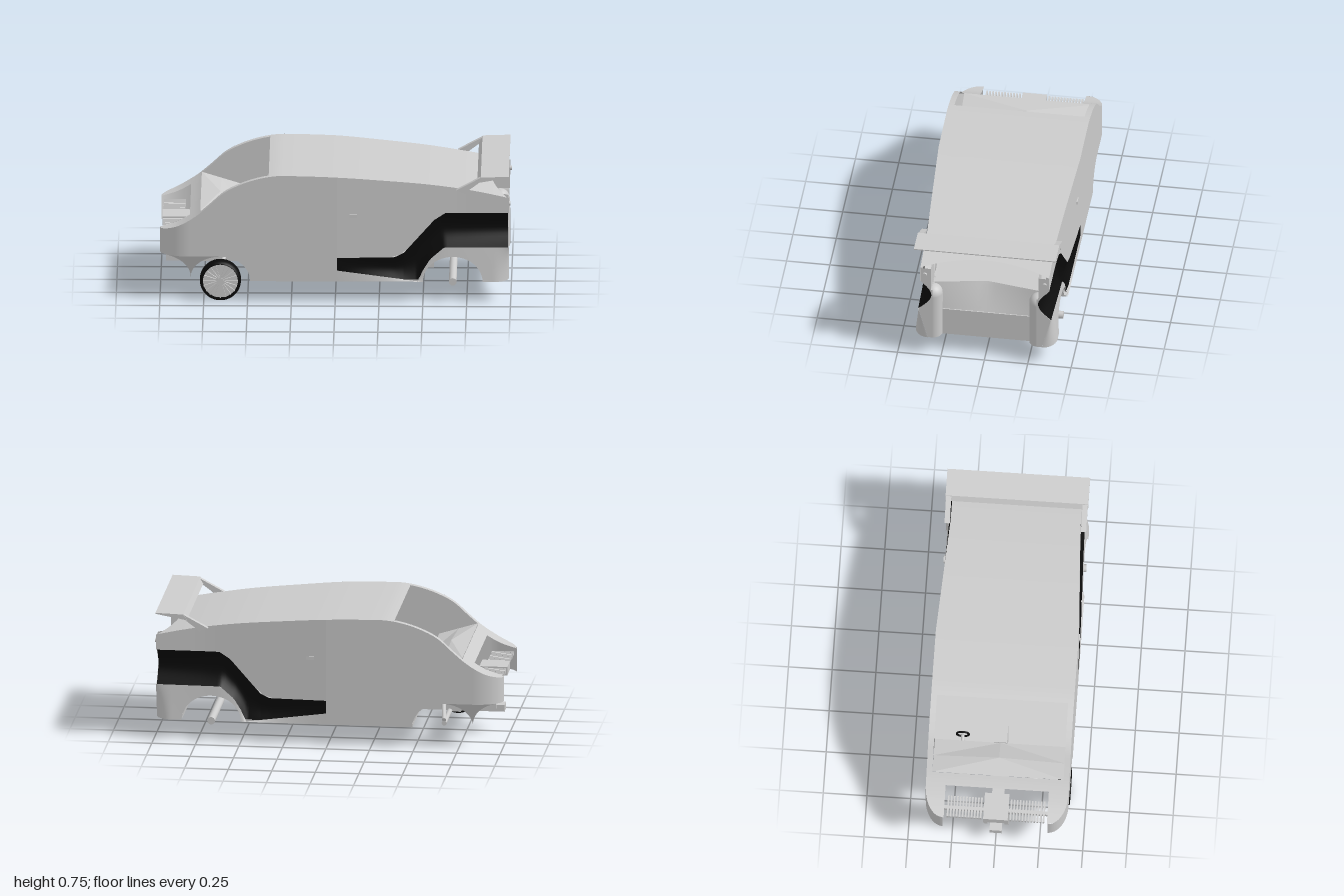
import * as THREE from 'three';

const grey = new THREE.MeshStandardMaterial({ color: 0xcccccc, side: THREE.DoubleSide });
const black = new THREE.MeshStandardMaterial({ color: 0x0a0a0a, side: THREE.DoubleSide });

// Linear interpolation through a list of [x, y] points
function lerpPoints(pts, x) {
  if (x <= pts[0][0]) return pts[0][1];
  for (let i = 1; i < pts.length; i++) {
    const [x0, y0] = pts[i - 1], [x1, y1] = pts[i];
    if (x <= x1) return y0 + (y1 - y0) * (x - x0) / (x1 - x0);
  }
  return pts[pts.length - 1][1];
}
const toShape = pts => new THREE.Shape(pts.map(p => new THREE.Vector2(...p)));

// Side silhouette of hood and roof
const roofLine = new THREE.SplineCurve([
  [-1, 0.41], [-0.9, 0.443], [-0.8, 0.502], [-0.72, 0.568], [-0.63, 0.648], [-0.54, 0.695], [-0.45, 0.726],
  [-0.36, 0.744], [-0.27, 0.748], [0, 0.74], [0.25, 0.72], [0.5, 0.696], [0.7, 0.668], [0.85, 0.641], [0.99, 0.61],
].map(p => new THREE.Vector2(...p))).getPoints(140).map(p => [p.x, p.y]);
const roofY = x => lerpPoints(roofLine, x);

const FRONT_AXLE = -0.655, REAR_AXLE = 0.67, SILL = 0.12, RX = 0.17, RY = 0.145, HALF = 0.408;
const arc = (x, c, rx) => SILL + RY * Math.sqrt(Math.max(0, 1 - ((x - c) / rx) ** 2));

// Lower edge of the side, with both wheel arches and the cut-away nose
function bottomY(x) {
  if (x < -0.97) return 0.265;
  if (x < -0.825) return arc(x, -0.97, 0.145);
  if (x < FRONT_AXLE + RX) return arc(x, FRONT_AXLE, RX);
  if (x > REAR_AXLE - RX && x < REAR_AXLE + RX) return arc(x, REAR_AXLE, RX);
  return SILL;
}
const skirtTop = () => 0.265;
// Edges of the dark band
const bandLow = x => lerpPoints([[0.01, 0.185], [0.47, 0.12], [0.5, 0.185], [0.54, 0.25], [0.62, 0.32], [0.99, 0.32]], x);
const bandHigh = x => lerpPoints([[0.01, 0.26], [0.34, 0.26], [0.39, 0.285], [0.6, 0.52], [0.99, 0.52]], x);

// Half width: rounded nose, tucked skirt, a scoop that deepens to the rear, rounded lower rear corner
function halfWidth(x, y) {
  let z = HALF;
  if (x < -0.83) z = 0.3 + (HALF - 0.3) * Math.sqrt(Math.max(0, 1 - ((x + 0.83) / 0.17) ** 2));
  if (x < FRONT_AXLE && y < 0.265) z -= 0.08 * (0.265 - y) / 0.145;
  if (x > 0.01) {
    const t = Math.min(1, (x - 0.01) / 0.98), lo = bandLow(x), hi = bandHigh(x);
    const inset = 0.037 * Math.min(1, t * 1.4);
    if (y >= hi) z -= inset;
    else if (y >= lo) {
      const v = (y - lo) / (hi - lo);
      z -= 0.025 * t * (1 - v) + inset * v + 0.07 * t * Math.sin(Math.PI * v);
    } else {
      z -= 0.025 * t * (y - SILL) / Math.max(0.01, lo - SILL);
      if (x > 0.9) z -= 0.08 * (lo - y) / 0.2 * (1 - Math.sqrt(Math.max(0, 1 - ((x - 0.9) / 0.09) ** 2)));
    }
  }
  return z;
}

// Surface from a grid of points fn(u, v)
function surface(nu, nv, fn) {
  const pos = [], idx = [];
  for (let i = 0; i <= nu; i++) for (let j = 0; j <= nv; j++) {
    pos.push(...fn(i / nu, j / nv));
    if (i < nu && j < nv) {
      const a = i * (nv + 1) + j, b = a + nv + 1;
      idx.push(a, b, a + 1, b, b + 1, a + 1);
    }
  }
  const g = new THREE.BufferGeometry();
  g.setAttribute('position', new THREE.Float32BufferAttribute(pos, 3));
  g.setIndex(idx);
  g.computeVertexNormals();
  return g;
}

export function createModel() {
  const car = new THREE.Group();
  car.name = 'carBody';
  const add = (name, geo, mat = grey, parent = car) => {
    const m = new THREE.Mesh(geo, mat);
    m.name = name;
    parent.add(m);
    return m;
  };
  const box = (name, x0, x1, y0, y1, z0, z1) => {
    const m = add(name, new THREE.BoxGeometry(x1 - x0, y1 - y0, z1 - z0));
    m.position.set((x0 + x1) / 2, (y0 + y1) / 2, (z0 + z1) / 2);
  };
  const rod = (name, a, b, r) => {
    const path = new THREE.LineCurve3(new THREE.Vector3(...a), new THREE.Vector3(...b));
    const m = add(name, new THREE.CylinderGeometry(r, r, path.getLength(), 16));
    m.position.copy(path.getPoint(0.5));
    m.quaternion.setFromUnitVectors(new THREE.Vector3(0, 1, 0), path.getTangent(0));
  };
  const mix = THREE.MathUtils.lerp;

  for (const s of [1, -1]) {
    const side = s > 0 ? 'left' : 'right';
    // Side walls, with stations bunched at the ends of each stretch
    const wall = (name, x0, x1, lo, hi, mat = grey, inset = 0) => add(side + name, surface(24, 12, (u, v) => {
      const x = mix(x0, x1, (1 - Math.cos(Math.PI * u)) / 2);
      const y0 = lo(x), y = mix(y0, Math.max(y0, hi(x)), v);
      // keep the band edge rows on their own side of the crease
      const yy = hi === bandHigh && v === 1 ? y - 1e-6 : lo === bandHigh && v === 0 ? y + 1e-6 : y;
      return [x, y, s * (halfWidth(x, yy) - inset)];
    }), mat);
    wall('NoseFender', -1, -0.825, skirtTop, roofY);
    wall('NoseSkirt', -0.97, -0.825, bottomY, skirtTop);
    wall('FrontFender', -0.825, FRONT_AXLE, skirtTop, roofY);
    wall('FrontArchSkirt', -0.825, FRONT_AXLE, bottomY, skirtTop);
    wall('FrontArch', FRONT_AXLE, FRONT_AXLE + RX, bottomY, roofY);
    wall('Door', FRONT_AXLE + RX, 0.01, bottomY, roofY);
    wall('UpperQuarter', 0.01, 0.99, bandHigh, roofY);
    for (const [a, b] of [[0.01, 0.39], [0.39, 0.6], [0.6, 0.985]]) {
      wall('SideScoop', a, b, bandLow, bandHigh, black);
      wall('ScoopLining', a, b, bandLow, bandHigh, grey, 0.006);
    }
    wall('Sill', 0.01, 0.47, bottomY, bandLow);
    wall('ArchFront', 0.47, 0.5, bottomY, bandLow);
    wall('RearArch', 0.5, 0.84, bottomY, bandLow);
    wall('RearFender', 0.84, 0.99, bottomY, bandLow);

    // Top of the nose fender and windscreen pillar
    add(side + 'FenderTop', surface(20, 3, (u, v) => {
      const x = mix(-1, -0.83, u);
      return [x, roofY(x), s * mix(0.295, halfWidth(x, 0.4), v)];
    }));
    add(side + 'WindscreenPillar', surface(24, 1, (u, v) => {
      const x = mix(-0.77, -0.38, u);
      return [x, roofY(x), s * mix(0.375, HALF, v)];
    }));
    // Half of the peaked shelf inside the windscreen
    add(side + 'DashShelf', surface(2, 1, (u, v) => {
      const ridge = u === 0.5 && v === 0;
      return [ridge ? -0.66 : mix(-0.77, -0.545, u), mix(0.53, 0.46, u) + (ridge ? 0.035 : 0), s * 0.375 * v];
    }).toNonIndexed()).geometry.computeVertexNormals();

    // Rear corner: end face, half-round column, upper plate and lamp
    add(side + 'RearCornerFace', surface(20, 1, (u, v) => {
      const y = mix(SILL, 0.46, u);
      return [0.987, y, s * mix(0.3, halfWidth(0.99, y), v)];
    }));
    const column = add(side + 'RearColumn',
      new THREE.CylinderGeometry(0.055, 0.055, 0.285, 24, 1, true, s * Math.PI / 2, Math.PI));
    column.position.set(0.932, 0.2625, s * 0.305);
    const dome = add(side + 'RearColumnTop',
      new THREE.SphereGeometry(0.055, 24, 8, s > 0 ? Math.PI : 0, Math.PI, 0, Math.PI / 2));
    dome.position.set(0.932, 0.405, s * 0.305);
    add(side + 'RearPlate', surface(12, 1, (u, v) => {
      const y = mix(0.46, 0.612, u);
      return [0.987, y, s * mix(0.31, halfWidth(0.99, y), v)];
    }));
    add(side + 'RearPlateInner', surface(1, 1, (u, v) => [mix(0.87, 0.987, u), mix(0.46, mix(0.635, 0.61, u), v), s * 0.31]));
    rod(side + 'TailLamp', [0.98, 0.57, s * 0.345], [0.998, 0.57, s * 0.345], 0.013);

    // Door handle and spoiler strut
    box(side + 'DoorHandle', 0.08, 0.125, 0.5, 0.518, s * 0.4 - 0.009, s * 0.4 + 0.009);
    const strut = toShape([[0.69, 0.665], [0.74, 0.645], [0.76, 0.665], [0.82, 0.71], [0.835, 0.743]]);
    const strutMesh = add(side + 'SpoilerStrut', new THREE.ExtrudeGeometry(strut, { depth: 0.03, bevelEnabled: false }));
    strutMesh.position.z = s > 0 ? 0.375 : -0.405;

    // Front radiator slats
    for (let i = 0; i < 12; i++) {
      const z = s * (0.085 + i * 0.0172);
      box(side + 'GrilleSlat', -0.985, -0.86, 0.375, 0.395, z - 0.005, z + 0.005);
    }
    box(side + 'GrillePost', -0.925, -0.895, 0.15, 0.38, s * 0.06 - 0.012, s * 0.06 + 0.012);
    rod(side + 'SuspensionArm', [-0.62, 0.24, s * 0.04], [FRONT_AXLE, 0.14, s * 0.3], 0.012);
  }

  // Roof with a curved rear edge, and the cowl
  add('roof', surface(60, 20, (u, v) => {
    const k = v * 2 - 1, x = mix(-0.38, 0.98 - 0.09 * (1 - k * k), u), y = roofY(x);
    return [x, y, k * halfWidth(x, y)];
  }));
  add('cowl', surface(6, 1, (u, v) => {
    const x = mix(-0.83, -0.77, u);
    return [x, roofY(x), mix(-HALF, HALF, v)];
  }));

  // Dash sloping to the floor, console and steering
  add('dashboard', surface(1, 1, (u, v) => [mix(-0.545, -0.485, u), mix(0.46, 0.13, u), mix(-0.39, 0.39, v)]));
  box('console', -0.52, -0.38, 0.13, 0.4, -0.04, 0.035);
  rod('steeringColumn', [-0.55, 0.35, -0.22], [-0.48, 0.39, -0.22], 0.01);
  const steering = add('steeringWheel', new THREE.TorusGeometry(0.035, 0.006, 8, 24), black);
  steering.position.set(-0.48, 0.39, -0.22);
  steering.rotation.y = Math.PI / 2;

  // Floors, rear wheel tunnel and axle
  box('floor', -0.485, 0.5, SILL, 0.13, -0.4, 0.4);
  box('bootFloor', REAR_AXLE + RX, 0.94, SILL, 0.126, -0.31, 0.31);
  add('wheelTunnel', surface(24, 1, (u, v) => {
    const a = Math.PI * u;
    return [REAR_AXLE - RX * Math.cos(a), SILL + RY * Math.sin(a), mix(-0.385, 0.385, v)];
  }));
  box('rearSubframe', 0.5, 0.56, 0.125, 0.225, -0.15, 0.15);
  rod('rearAxle', [REAR_AXLE, SILL, -HALF], [REAR_AXLE, SILL, HALF], 0.022);

  // Rear panel with a dished upper half, and the load shelf ahead of it
  box('rearPanel', 0.93, 0.94, SILL, 0.297, -0.3, 0.3);
  add('rearPanelTop', surface(8, 12, (u, v) => {
    const k = v * 2 - 1;
    return [0.935 - u * (0.03 + 0.05 * (1 - Math.abs(k))), mix(0.295, 0.46, u), k * 0.3];
  }));
  add('loadShelf', surface(1, 12, (u, v) => {
    const k = v * 2 - 1;
    return [mix(0.905 - 0.05 * (1 - Math.abs(k)), 0.5, u), mix(0.46, 0.42, u), k * 0.3];
  }));

  // Rear wing
  const wing = toShape([[0.81, 0.71], [0.99, 0.742], [0.99, 0.748], [0.83, 0.743]]);
  add('rearWing', new THREE.ExtrudeGeometry(wing, { depth: 2 * HALF, bevelEnabled: false })).position.z = -HALF;

  // Front frame
  box('frameBeam', -0.97, -0.5, 0.125, 0.165, -0.035, 0.035);
  box('noseBox', -0.99, -0.83, 0.35, 0.4, -0.07, 0.07);
  box('grilleRail', -0.935, -0.915, 0.36, 0.385, -0.3, 0.3);
  box('upperFrame', -0.7, -0.5, 0.235, 0.26, -0.05, 0.05);
  rod('frontAxle', [FRONT_AXLE, 0.12, -0.3], [FRONT_AXLE, 0.12, 0.36], 0.014);

  // Single front wheel: chamfered tyre, spokes, hub and brake block
  const wheel = new THREE.Group();
  wheel.name = 'frontWheel';
  wheel.position.set(FRONT_AXLE, 0.118, 0.372);
  car.add(wheel);
  const tyre = [[0.1, -0.037], [0.106, -0.037], [0.117, -0.022], [0.117, 0.022], [0.106, 0.037], [0.1, 0.037], [0.1, -0.037]];
  add('tyre', new THREE.LatheGeometry(tyre.map(p => new THREE.Vector2(...p)), 40), black, wheel).rotation.x = Math.PI / 2;
  add('wheelDisc', new THREE.CylinderGeometry(0.101, 0.101, 0.04, 40), grey, wheel).rotation.x = Math.PI / 2;
  add('hub', new THREE.CylinderGeometry(0.02, 0.02, 0.07, 20), grey, wheel).rotation.x = Math.PI / 2;
  for (let i = 0; i < 20; i++) {
    const a = i * Math.PI / 10;
    const spoke = add('spoke', new THREE.BoxGeometry(0.085, 0.007, 0.012), grey, wheel);
    spoke.position.set(0.058 * Math.cos(a), 0.058 * Math.sin(a), 0.025);
    spoke.rotation.z = a;
  }
  box('brakeBlock', FRONT_AXLE - 0.025, FRONT_AXLE + 0.025, 0.025, 0.2, 0.29, 0.336);
  return car;
}
